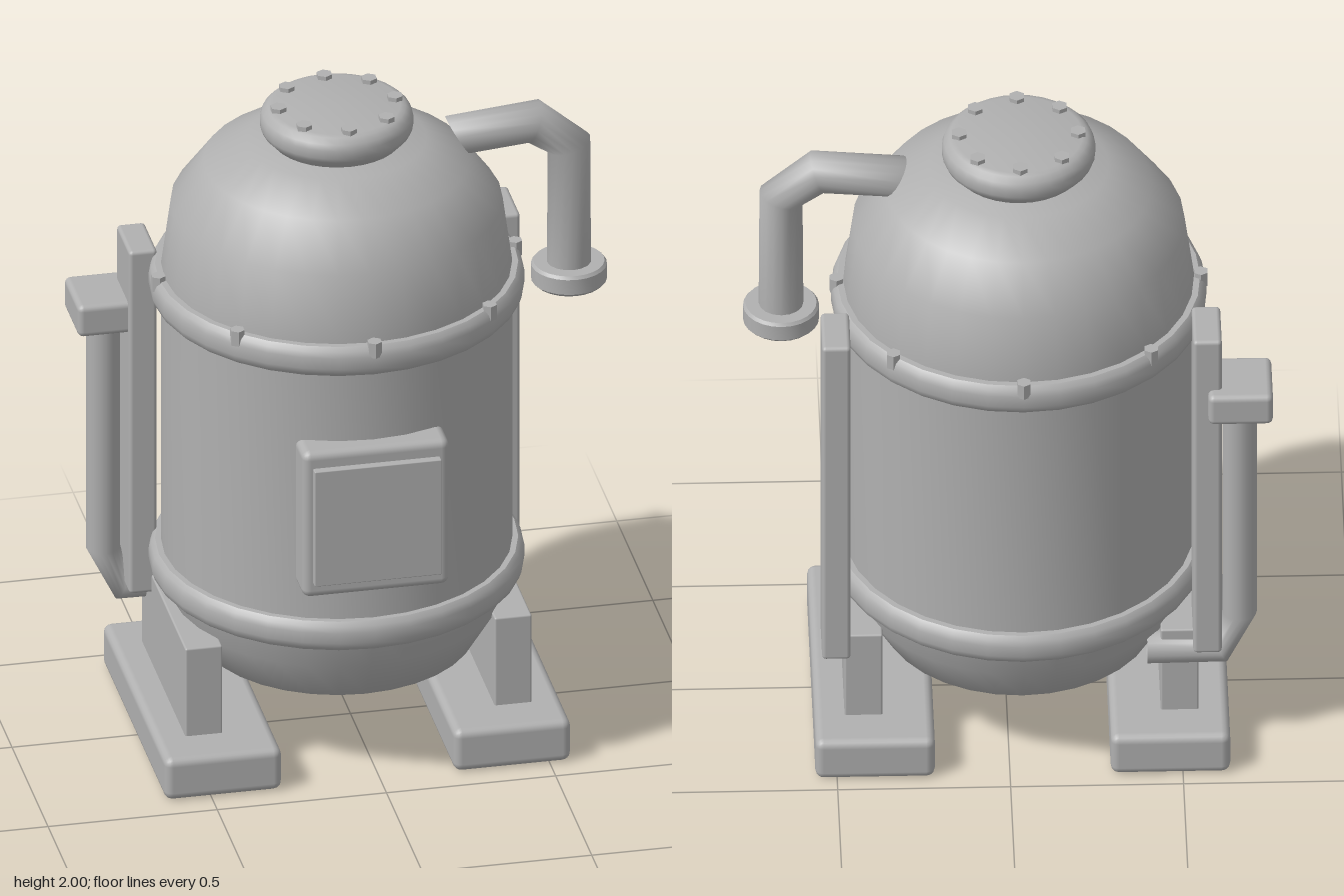
import * as THREE from 'three';
import { toCreasedNormals } from 'three/addons/utils/BufferGeometryUtils.js';
import { RoundedBoxGeometry } from 'three/addons/geometries/RoundedBoxGeometry.js';

const CX = -0.037, CZ = -0.018; // axis of the tank

// Curve whose rings sit exactly on given points [x, y, tangentX, tangentY] at constant z
class RingPath extends THREE.Curve {
  constructor(rings, z) { super(); this.rings = rings; this.z = z; }
  ring(u) { return this.rings[Math.round(u * (this.rings.length - 1))]; }
  getPointAt(u, target = new THREE.Vector3()) {
    const r = this.ring(u);
    return target.set(r[0], r[1], this.z);
  }
  getTangentAt(u, target = new THREE.Vector3()) {
    const r = this.ring(u);
    return target.set(r[2], r[3], 0).normalize();
  }
}

export function createModel() {
  const group = new THREE.Group();
  const metal = new THREE.MeshStandardMaterial({ color: 0xb0b0b0, side: THREE.DoubleSide });
  metal.name = 'grey metal';

  const add = (name, geometry, x = 0, y = 0, z = 0) => {
    const mesh = new THREE.Mesh(geometry, metal);
    mesh.name = name;
    mesh.position.set(x, y, z);
    group.add(mesh);
    return mesh;
  };
  const lathe = (name, points, x = CX, z = CZ, sides = 32) => add(name, toCreasedNormals(
    new THREE.LatheGeometry(points.map(p => new THREE.Vector2(...p)), sides), 0.65), x, 0, z);
  // Box given by its limits
  const box = (name, [x0, x1], [y0, y1], [z0, z1], radius) => add(name,
    new RoundedBoxGeometry(x1 - x0, y1 - y0, z1 - z0, 2, radius),
    (x0 + x1) / 2, (y0 + y1) / 2, (z0 + z1) / 2);
  const pipe = (name, rings, z, radius) => {
    const path = new RingPath(rings, z);
    add(name, new THREE.TubeGeometry(path, rings.length - 1, radius, 16));
    const cap = add(name + 'Cap', new THREE.CircleGeometry(radius, 16), ...path.getPointAt(0).toArray());
    cap.lookAt(path.getPointAt(0).sub(path.getTangentAt(0)));
  };
  const boltCircle = (name, radius, size, y0, y1) => {
    for (let i = 0; i < 8; i++) {
      const a = i * Math.PI / 4;
      add(name, toCreasedNormals(new THREE.CylinderGeometry(size, size, y1 - y0, 6), 0.5),
        CX + Math.sin(a) * radius, (y0 + y1) / 2, CZ + Math.cos(a) * radius);
    }
  };

  // Tank with domed ends
  lathe('lowerDome', [[0, 0.2], [0.27, 0.2], [0.4, 0.267], [0.48, 0.4], [0.508, 0.54]]);
  lathe('tankWall', [[0.508, 0.52], [0.508, 1.43]]);
  lathe('upperDome', [[0.508, 1.42], [0.507, 1.48], [0.48, 1.68], [0.385, 1.81], [0.26, 1.88], [0, 1.885]]);

  // Rounded hoops around the tank
  for (const [name, y0, y1] of [['lowerHoop', 0.48, 0.573], ['upperHoop', 1.377, 1.472]]) {
    lathe(name, [[0.49, y0], [0.525, y0], [0.537, y0 + 0.012], [0.543, y0 + 0.03],
      [0.543, y1 - 0.03], [0.537, y1 - 0.012], [0.525, y1], [0.49, y1]]);
  }
  boltCircle('hoopBolt', 0.527, 0.022, 1.44, 1.487);

  // Bolted hatch on top
  lathe('topHatch', [[0, 1.87], [0.18, 1.87], [0.2, 1.893], [0.216, 1.91], [0.222, 1.925],
    [0.222, 1.95], [0.216, 1.968], [0.2, 1.983], [0.185, 1.987], [0, 1.987]]);
  boltCircle('hatchBolt', 0.172, 0.024, 1.96, 2.0);

  // Front door with raised panel
  box('frontDoor', [-0.255, 0.18], [0.68, 1.155], [0.4, 0.54], 0.025);
  box('doorPanel', [-0.225, 0.15], [0.73, 1.105], [0.5, 0.563], 0.003);

  // Feet, legs and side columns, mirrored about the tank axis
  for (const s of [-1, 1]) {
    const span = (a, b) => [CX + s * a, CX + s * b].sort((p, q) => p - q);
    box('foot', span(0.254, 0.6), [0, 0.135], [-0.455, 0.425], 0.025);
    box('leg', span(0.402, 0.512), [0.1, 0.42], [-0.32, 0.288], 0.006);
    box('sideColumn', span(0.495, 0.578), [0.362, 1.482], [-0.36, -0.18], 0.012);
  }

  // Outlet pipe with ring flange
  pipe('outletPipe', [[0.32, 1.848, 1, 0.6], [0.545, 1.868, 1, -0.35],
    [0.65, 1.785, 0.3, -1], [0.65, 1.37, 0, -1]], -0.02, 0.065);
  lathe('outletFlange', [[0.05, 1.4], [0.05, 1.335], [0.1, 1.335], [0.11, 1.345],
    [0.11, 1.393], [0.103, 1.402], [0.05, 1.402]], 0.65, -0.02, 24);

  // Side drain pipe hanging from a bracket
  box('drainBracket', [-0.762, -0.575], [1.208, 1.31], [-0.4, -0.195], 0.018);
  pipe('drainPipe', [[-0.668, 1.23, 0, -1], [-0.668, 0.468, 0, -1],
    [-0.615, 0.345, 1, -0.4], [-0.4, 0.345, 1, 0]], -0.295, 0.05);

  return group;
}
